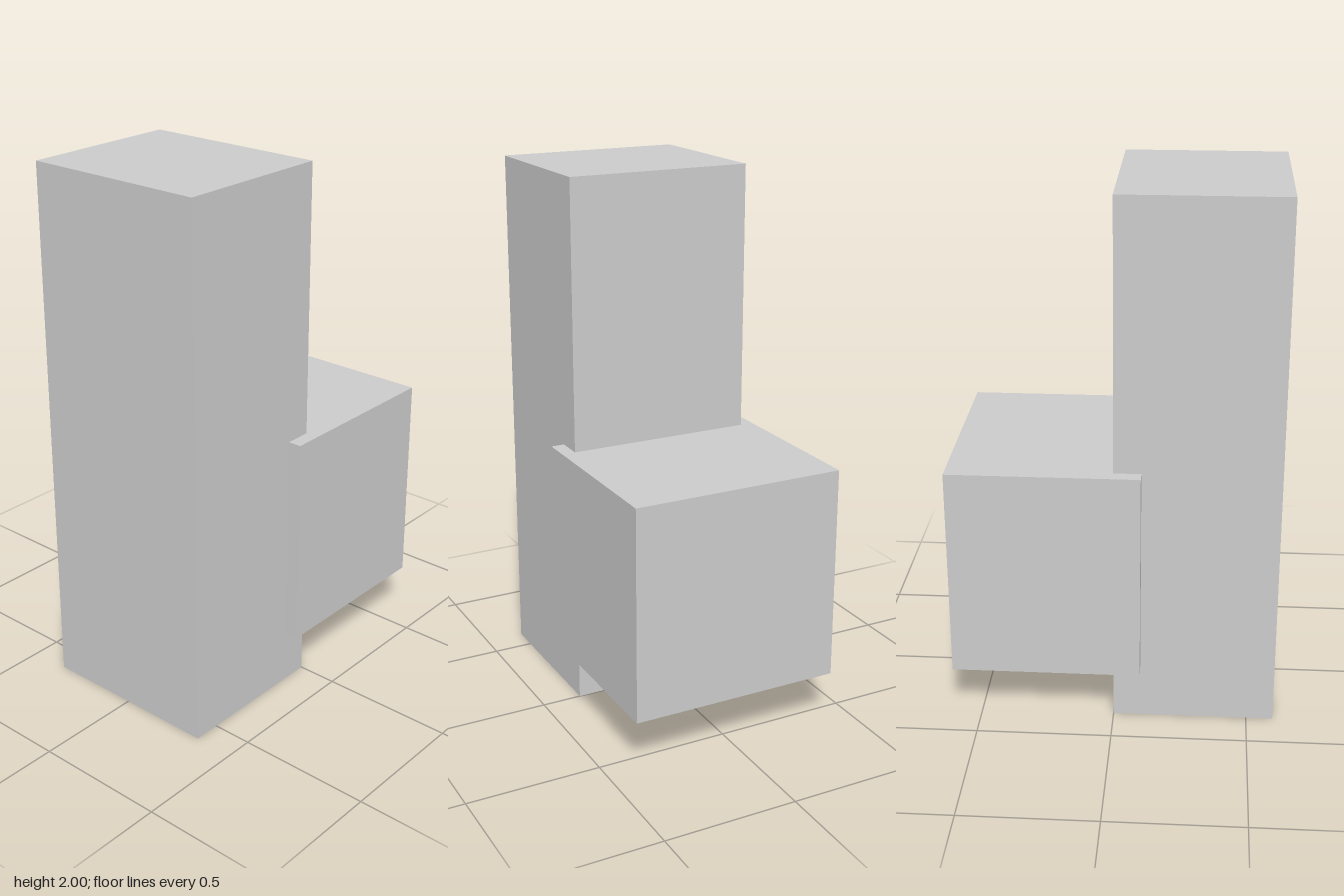
import * as THREE from 'three';

const material = new THREE.MeshStandardMaterial({ color: 0xcccccc, flatShading: true });

function box(name, size, position) {
  const mesh = new THREE.Mesh(new THREE.BoxGeometry(...size), material);
  mesh.name = name;
  mesh.position.set(...position);
  return mesh;
}

export function createModel() {
  const model = new THREE.Group();
  model.name = 'towerWithRearBlock';

  // Tall upright block at the front
  model.add(box('tower', [0.7, 2, 0.6], [0, 1, 0.3]));

  // Wider raised block, overlapping the back of the tower by 0.1
  model.add(box('rearBlock', [0.8, 0.8, 0.7], [0, 0.6, -0.25]));

  return model;
}
